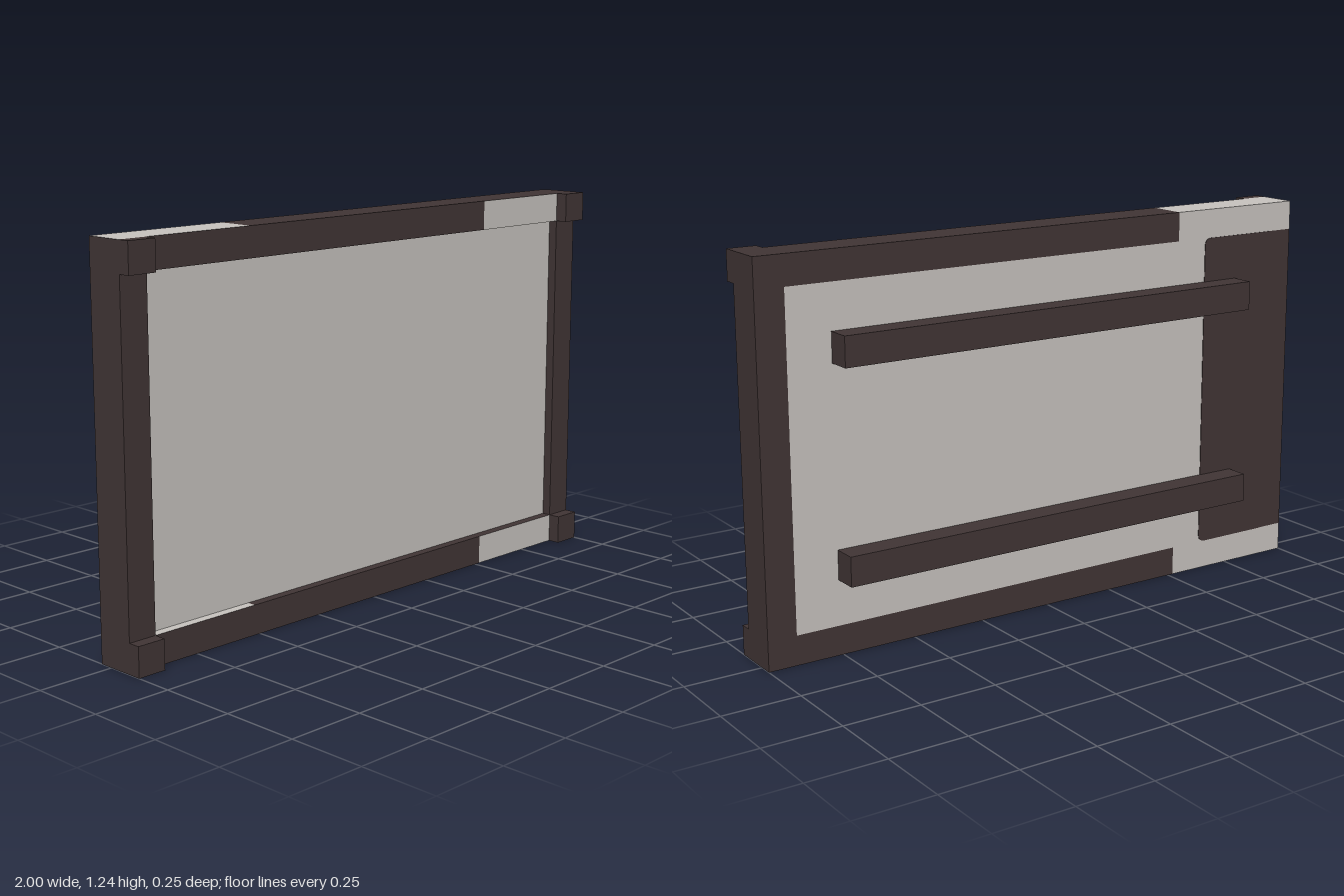
import * as THREE from 'three';

const H = 1.24, W = 0.095;            // overall height, frame bar width
const BACK = -0.045, FRONT = 0.085;   // frame depth range

export function createModel() {
  const group = new THREE.Group();
  const dark = new THREE.MeshStandardMaterial({ color: 0x413535 });
  dark.name = 'dark brown';
  const light = new THREE.MeshStandardMaterial({ color: 0xc8c4c0 });
  light.name = 'pale grey';

  // Box given by its extents; material may be one or six (+x -x +y -y +z -z)
  function box(name, [x0, x1], [y0, y1], [z0, z1], material) {
    const mesh = new THREE.Mesh(new THREE.BoxGeometry(x1 - x0, y1 - y0, z1 - z0), material);
    mesh.position.set((x0 + x1) / 2, (y0 + y1) / 2, (z0 + z1) / 2);
    mesh.name = name;
    group.add(mesh);
  }

  // Recessed board
  box('board', [-1 + W, 1 - W], [W, H - W], [BACK, 0.055], light);

  // Side posts
  for (const [name, x] of [['rightPost', [-1, -1 + W]], ['leftPost', [1 - W, 1]]]) {
    box(name, x, [W, H - W], [BACK, FRONT], dark);
  }

  // Top and bottom rails, with a pale section at each end, and corner blocks
  const paleEnd = [dark, dark, light, light, dark, light];
  const paleFront = [dark, dark, dark, dark, light, dark];
  for (const [name, y] of [['bottom', [0, W]], ['top', [H - W, H]]]) {
    const depth = [BACK, FRONT];
    box(name + 'RailRightEnd', [-1, -0.52], y, depth, paleEnd);
    box(name + 'RailMiddle', [-0.52, 0.52], y, depth, dark);
    box(name + 'RailLeftEnd', [0.52, 1 - W], y, depth, paleFront);
    box(name + 'RailLeftCorner', [1 - W, 1], y, depth, dark);
    box(name + 'RightCornerBlock', [-1, -1 + W], y, [FRONT, 0.125], dark);
    box(name + 'LeftCornerBlock', [1 - W, 1], y, [FRONT, 0.125], dark);
  }

  // Dark patch on the back, with two softened corners
  const x0 = -1 + W, x1 = -0.63, y0 = W, y1 = H - W, r = 0.025;
  const patch = new THREE.Shape();
  patch.moveTo(x0, y0);
  patch.lineTo(x1 - r, y0);
  patch.quadraticCurveTo(x1, y0, x1, y0 + r);
  patch.lineTo(x1, y1 - r);
  patch.quadraticCurveTo(x1, y1, x1 - r, y1);
  patch.lineTo(x0, y1);
  const backPatch = new THREE.Mesh(
    new THREE.ExtrudeGeometry(patch, { depth: 0.004, bevelEnabled: false, curveSegments: 4 }), dark);
  backPatch.position.z = BACK - 0.002;
  backPatch.name = 'backPatch';
  group.add(backPatch);

  // Battens across the back
  box('lowerBatten', [-0.76, 0.76], [0.24, 0.335], [-0.125, BACK], dark);
  box('upperBatten', [-0.76, 0.76], [0.905, 1.0], [-0.125, BACK], dark);

  return group;
}
